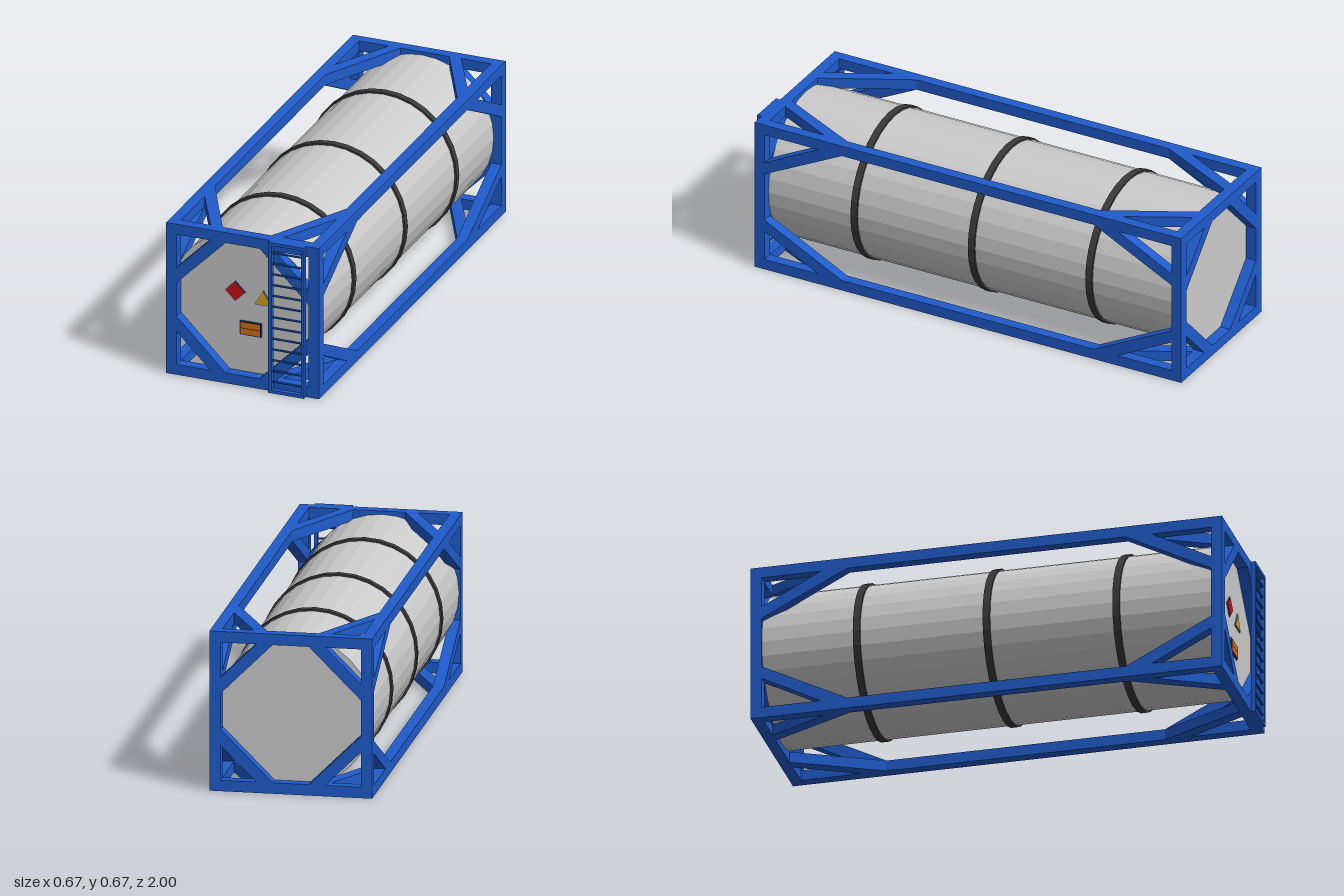
import * as THREE from 'three';

const mat = (color) => new THREE.MeshStandardMaterial({ color, flatShading: true });
const BLUE = mat(0x1f5ccc), GREY = mat(0xcccccc), DARK = mat(0x3a3a3a), BLACK = mat(0x111111);
const RED = mat(0xcc1010), YELLOW = mat(0xdca81c), ORANGE = mat(0xd8721c);

// Half sizes of the frame and beam thickness
const HX = 0.336, HZ = 0.99, T = 0.046;
const IN = HX - T, INZ = HZ - T;

function add(parent, name, geometry, material, x = 0, y = 0, z = 0) {
  const mesh = new THREE.Mesh(geometry, material);
  mesh.name = name;
  mesh.position.set(x, y, z);
  parent.add(mesh);
  return mesh;
}

const box = (parent, name, m, w, h, d, x, y, z) =>
  add(parent, name, new THREE.BoxGeometry(w, h, d), m, x, y, z);

// Flat plate from a list of points, centred on its thickness
function plate(points, depth) {
  const shape = new THREE.Shape(points.map(([x, y]) => new THREE.Vector2(x, y)));
  return new THREE.ExtrudeGeometry(shape, { depth, bevelEnabled: false }).translate(0, 0, -depth / 2);
}

// Four mirrored corner braces lying in one plane
function braces(name, points) {
  const group = new THREE.Group();
  group.name = name;
  for (const sx of [-1, 1]) for (const sy of [-1, 1]) {
    add(group, 'brace', plate(points.map(([x, y]) => [x * sx, y * sy]), T), BLUE);
  }
  return group;
}

function makeFrame() {
  const frame = new THREE.Group();
  frame.name = 'frame';
  const c = HX - T / 2, cz = HZ - T / 2;
  for (const a of [-1, 1]) for (const b of [-1, 1]) {
    box(frame, 'longRail', BLUE, T, T, 2 * HZ, a * c, b * c, 0);
    box(frame, 'cornerPost', BLUE, T, 2 * IN, T, a * c, 0, b * cz);
    box(frame, 'crossBeam', BLUE, 2 * IN, T, T, 0, a * c, b * cz);
  }
  // Braces on the ends, the sides, and the top and bottom
  const endPts = [[IN, 0.075], [IN, 0.143], [0.143, IN], [0.075, IN]];
  const sidePts = [[INZ, 0.107], [INZ, 0.16], [0.695, IN], [0.585, IN]];
  const topPts = sidePts.map(([u, v]) => [v, u]);
  for (const s of [-1, 1]) {
    const end = braces('endBraces', endPts);
    end.position.z = s * cz;
    const side = braces('sideBraces', sidePts);
    side.rotation.y = Math.PI / 2;
    side.position.x = s * c;
    const top = braces(s > 0 ? 'topBraces' : 'bottomBraces', topPts);
    top.rotation.x = Math.PI / 2;
    top.position.y = s * c;
    frame.add(end, side, top);
  }
  return frame;
}

function makeTank() {
  const tank = new THREE.Group();
  tank.name = 'tank';
  const drum = (name, r, len, m, z) =>
    add(tank, name, new THREE.CylinderGeometry(r, r, len, 32).rotateX(Math.PI / 2), m, 0, 0, z);
  drum('tankBody', 0.316, 2 * INZ, GREY, 0);
  for (const z of [-0.545, 0, 0.545]) drum('tankBand', 0.324, 0.03, DARK, z);
  return tank;
}

function makeLadder() {
  const ladder = new THREE.Group();
  ladder.name = 'ladder';
  const w = 0.157, h = 2 * HX, bar = 0.014, depth = 0.02;
  for (const s of [-1, 1]) {
    box(ladder, 'ladderRail', BLUE, bar, h, depth, s * (w - bar) / 2, 0, 0);
    box(ladder, 'ladderEndBar', BLUE, w - 2 * bar, bar, depth, 0, s * (h - bar) / 2, 0);
  }
  for (let i = -6; i <= 6; i++) {
    const rung = new THREE.CylinderGeometry(0.0048, 0.0048, w - 2 * bar, 8).rotateZ(Math.PI / 2);
    add(ladder, 'rung', rung, BLUE, 0, i * 0.0479, 0);
  }
  return ladder;
}

// Warning plates, each on a slightly larger blue backing
function makeSigns() {
  const signs = new THREE.Group();
  signs.name = 'signs';
  const diamond = (r) => [[r, 0], [0, r], [-r, 0], [0, -r]];
  const triangle = (r) => [[-r, -r * 0.85], [r, -r * 0.85], [0, r * 0.85]];
  const sign = (name, outline, r, m, x, y) => {
    add(signs, name + 'Backing', plate(outline(r), 0.004), BLUE, x, y, 0.002);
    add(signs, name, plate(outline(r - 0.003), 0.006), m, x, y, 0.003);
  };
  sign('diamondSign', diamond, 0.045, RED, -0.05, 0.062);
  sign('triangleSign', triangle, 0.039, YELLOW, 0.073, 0.051);
  const x = 0.017, y = -0.096;
  box(signs, 'panelBacking', BLUE, 0.096, 0.063, 0.004, x, y, 0.002);
  box(signs, 'panelBorder', BLACK, 0.091, 0.058, 0.006, x, y, 0.003);
  for (const s of [-1, 1]) {
    box(signs, 'panelHalf', ORANGE, 0.085, 0.025, 0.008, x, y + s * 0.0137, 0.004);
  }
  return signs;
}

export function createModel() {
  const model = new THREE.Group();
  model.name = 'tankContainer';
  const body = new THREE.Group();
  body.name = 'body';
  body.position.set(0, HX, -0.01);
  const tank = makeTank();
  tank.position.set(-0.014, 0.006, 0);
  const ladder = makeLadder();
  ladder.position.set(0.199, 0, HZ + 0.01);
  const signs = makeSigns();
  signs.position.z = INZ;
  body.add(makeFrame(), tank, ladder, signs);
  model.add(body);
  return model;
}
